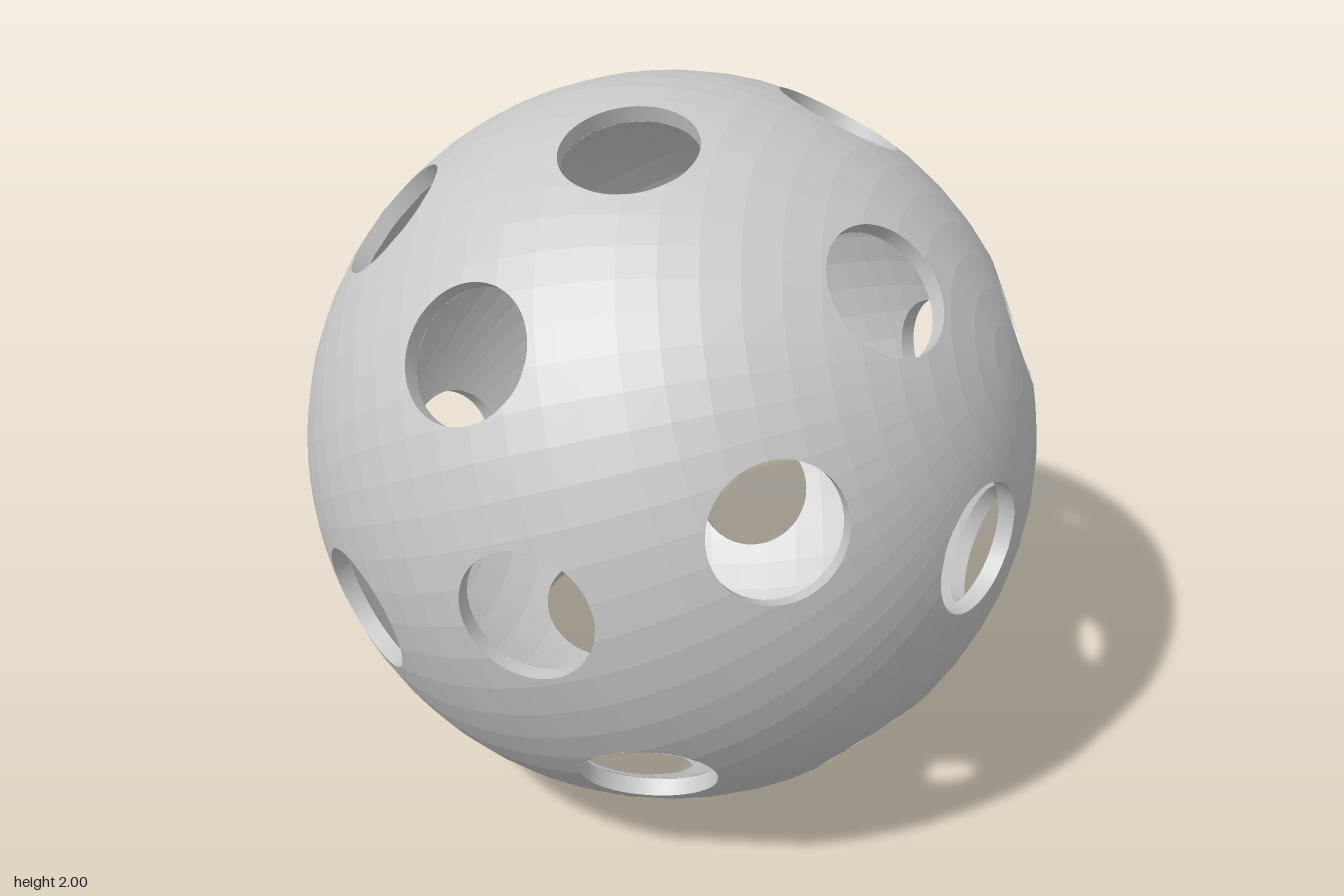
import * as THREE from 'three';

const OUTER = 1, INNER = 0.955, HOLE_R = 0.177;

// Hole axes: one at each end, rings of 4 and 8 between them, staggered front to back
function holeAxes() {
  const axes = [new THREE.Vector3(0, 0, 1), new THREE.Vector3(0, 0, -1)];
  const ring = (count, z, startDegrees) => {
    const s = Math.sqrt(1 - z * z);
    for (let i = 0; i < count; i++) {
      const a = THREE.MathUtils.degToRad(startDegrees) + (i * 2 * Math.PI) / count;
      axes.push(new THREE.Vector3(s * Math.cos(a), s * Math.sin(a), z));
    }
  };
  ring(4, 0.79, 22.5);
  ring(8, 0.305, 0);
  ring(8, -0.305, 22.5);
  ring(4, -0.79, 0);
  return axes;
}

// Faceted sphere with round holes cut cleanly through its facets
function perforatedSphere(radius, axes, inward) {
  const ball = new THREE.SphereGeometry(radius, 64, 32);
  ball.rotateZ(THREE.MathUtils.degToRad(-67.5));
  const source = ball.toNonIndexed().attributes.position;
  const out = [];

  // Positive outside every hole, negative inside one
  const clearance = (p) => {
    let best = 1;
    for (const n of axes) {
      const d = p.dot(n);
      if (d > 0) best = Math.min(best, Math.sqrt(Math.max(0, p.lengthSq() - d * d)) - HOLE_R);
    }
    return best;
  };
  const rimPoint = (a, b) => {
    const keep = a.clone(), drop = b.clone(), mid = new THREE.Vector3();
    for (let i = 0; i < 16; i++) {
      mid.lerpVectors(keep, drop, 0.5);
      (clearance(mid) > 0 ? keep : drop).copy(mid);
    }
    return keep;
  };
  const emit = (a, b, c) => {
    for (const p of inward ? [a, c, b] : [a, b, c]) out.push(p.x, p.y, p.z);
  };
  const cut = (tri, depth) => {
    const f = tri.map(clearance);
    // Split facets near a rim so that the hole edge is round
    if (depth > 0 && Math.min(...f.map(Math.abs)) < 0.11) {
      const [a, b, c] = tri;
      const ab = a.clone().lerp(b, 0.5), bc = b.clone().lerp(c, 0.5), ca = c.clone().lerp(a, 0.5);
      for (const t of [[a, ab, ca], [ab, b, bc], [ca, bc, c], [ab, bc, ca]]) cut(t, depth - 1);
      return;
    }
    const poly = [];
    for (let i = 0; i < 3; i++) {
      const j = (i + 1) % 3;
      if (f[i] > 0) poly.push(tri[i]);
      if (f[i] > 0 && f[j] <= 0) poly.push(rimPoint(tri[i], tri[j]));
      if (f[i] <= 0 && f[j] > 0) poly.push(rimPoint(tri[j], tri[i]));
    }
    for (let i = 2; i < poly.length; i++) emit(poly[0], poly[i - 1], poly[i]);
  };

  for (let i = 0; i < source.count; i += 3) {
    cut([0, 1, 2].map((k) => new THREE.Vector3().fromBufferAttribute(source, i + k)), 2);
  }
  const geometry = new THREE.BufferGeometry();
  geometry.setAttribute('position', new THREE.Float32BufferAttribute(out, 3));
  geometry.computeVertexNormals(); // unshared corners keep the facets flat
  return geometry;
}

export function createModel() {
  const group = new THREE.Group();
  group.name = 'perforatedBall';
  const grey = new THREE.MeshStandardMaterial({ color: 0xc8c8c8, side: THREE.DoubleSide });
  grey.name = 'grey plastic';
  const axes = holeAxes();

  const add = (name, geometry) => {
    const mesh = new THREE.Mesh(geometry, grey);
    mesh.name = name;
    mesh.position.y = 1;
    group.add(mesh);
    return mesh;
  };

  // Shell
  add('outerShell', perforatedSphere(OUTER, axes, false));
  add('innerShell', perforatedSphere(INNER, axes, true));

  // Short tube lining each hole through the wall
  const rim = (r) => Math.sqrt(r * r - HOLE_R * HOLE_R) - 0.001;
  const top = rim(OUTER), bottom = rim(INNER);
  const lining = new THREE.CylinderGeometry(HOLE_R, HOLE_R, top - bottom, 56, 1, true);
  lining.translate(0, (top + bottom) / 2, 0);
  const up = new THREE.Vector3(0, 1, 0);
  for (const axis of axes) add('holeWall', lining).quaternion.setFromUnitVectors(up, axis);

  return group;
}
